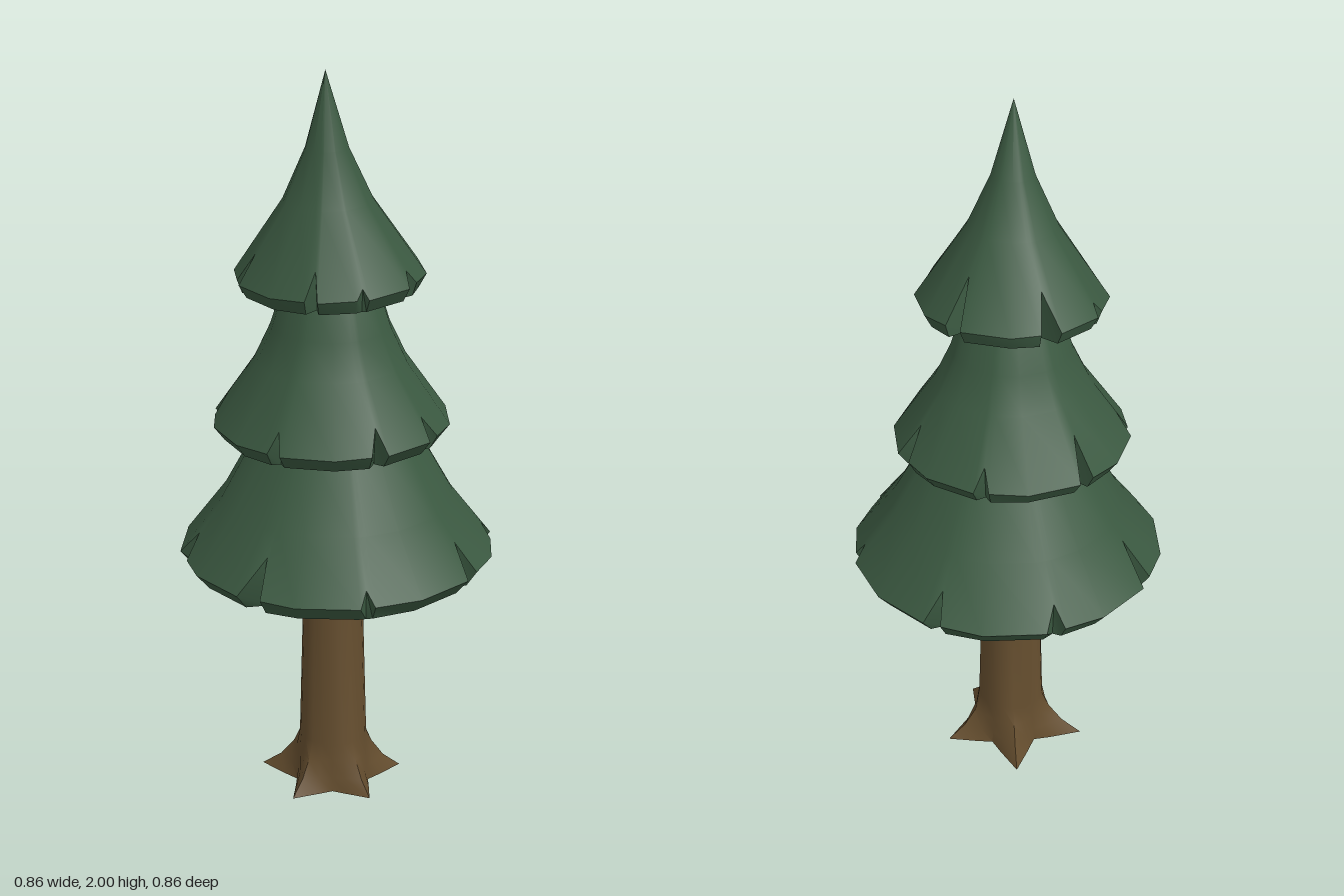
import * as THREE from 'three';
import { toCreasedNormals } from 'three/addons/utils/BufferGeometryUtils.js';

const needles = new THREE.MeshStandardMaterial({ color: 0x3b5941 });
needles.name = 'needleGreen';
const bark = new THREE.MeshStandardMaterial({ color: 0x644d2e });
bark.name = 'barkBrown';

const rad = THREE.MathUtils.degToRad;

// Skins a closed ring of columns; each column is { angle, profile: [[radius, y], ...] } from top to bottom.
function skin(columns, crease) {
  const pos = [];
  const point = (c, j) => {
    const [r, y] = c.profile[j];
    return new THREE.Vector3(r * Math.cos(rad(c.angle)), y, r * Math.sin(rad(c.angle)));
  };
  const tri = (a, b, c) => {
    const area = b.clone().sub(a).cross(c.clone().sub(a)).length();
    if (area > 1e-9) pos.push(...a, ...b, ...c);
  };
  columns.forEach((c, i) => {
    const d = columns[(i + 1) % columns.length];
    for (let j = 0; j < c.profile.length - 1; j++) {
      tri(point(c, j), point(d, j), point(c, j + 1));
      tri(point(d, j), point(d, j + 1), point(c, j + 1));
    }
  });
  const geo = new THREE.BufferGeometry();
  geo.setAttribute('position', new THREE.Float32BufferAttribute(pos, 3));
  // Enlarged while creasing so close corners stay separate
  geo.scale(10, 10, 10);
  const out = toCreasedNormals(geo, rad(crease));
  out.scale(0.1, 0.1, 0.1);
  return out;
}

// One skirt of branches: a flared cone with an undercut lip and V notches.
// notches: [corner angle, apex angle, apex radius, end angle]
function tier({ name, at, lean, sides, rings, lip, notches }) {
  const [rim, above] = rings;
  const step = 360 / sides;
  const upper = rings.slice(1).reverse();
  const column = (angle, r) => {
    const t = Math.max(0, (rim[0] - r) / (rim[0] - above[0]));
    const isApex = r < rim[0] * Math.cos(rad(step / 2)) - 0.001;
    const low = isApex ? Math.min(lip[0], r - 0.008) : lip[0];
    return {
      angle: (angle + 360) % 360,
      profile: [...upper, [r, isApex ? t * above[1] : 0], [low, lip[1]], [0, lip[1]]],
    };
  };
  const columns = [];
  for (let i = 0; i < sides; i++) columns.push(column(i * step, rim[0]));
  for (const [corner, apex, r, end] of notches) {
    const off = Math.abs(end - corner) - step / 2;
    columns.push(column(apex, r));
    columns.push(column(end, rim[0] * Math.cos(rad(step / 2)) / Math.cos(rad(off))));
  }
  columns.sort((a, b) => a.angle - b.angle);
  const mesh = new THREE.Mesh(skin(columns, 36), needles);
  mesh.name = name;
  mesh.position.set(...at);
  mesh.rotation.set(lean[1], 0, -lean[0]);
  return mesh;
}

// Trunk flaring into five pointed roots
function trunk() {
  const reach = [0.178, 0.185, 0.215, 0.205, 0.2];
  const ridge = [1, 0.32, 0.04, 0.32];
  const rows = [[0.078, 0.72, 0], [0.094, 0.14, 0], [0.097, 0.09, 0.17], [0.1, 0.04, 0.5], [0.102, 0, 1]];
  const columns = [];
  for (let i = 0; i < 20; i++) {
    const root = reach[Math.floor((i + 2) / 4) % 5];
    const profile = rows.map(([r, y, flare]) => [r + (root - r) * flare * ridge[i % 4], y]);
    columns.push({ angle: 18 + i * 18, profile: [[0, 0.72], ...profile, [0, 0]] });
  }
  const mesh = new THREE.Mesh(skin(columns, 50), bark);
  mesh.name = 'trunk';
  mesh.position.set(-0.008, 0, 0.008);
  return mesh;
}

export function createModel() {
  const tree = new THREE.Group();
  tree.name = 'pineTree';
  tree.add(trunk());

  tree.add(tier({
    name: 'lowerBranches', at: [0, 0.71, 0], lean: [0.035, 0.055], sides: 16,
    rings: [[0.43, 0], [0.315, 0.15], [0.215, 0.33], [0.1, 0.5], [0, 0.6]],
    lip: [0.393, -0.045],
    notches: [
      [-90, -94, 0.371, -96.5], [-45, -41.7, 0.398, -38.5], [0, -4.7, 0.366, -8],
      [45, 42.3, 0.4, 39.7], [90, 83, 0.358, 81], [135, 130, 0.38, 126.3],
      [180, 175, 0.346, 172.5], [-135, -139.5, 0.385, -142.2],
    ],
  }));

  const c = 360 / 14;
  tree.add(tier({
    name: 'middleBranches', at: [0, 1.075, 0.025], lean: [0.045, 0.065], sides: 14,
    rings: [[0.32, 0], [0.205, 0.165], [0.16, 0.26], [0.125, 0.37], [0.05, 0.5], [0, 0.56]],
    lip: [0.292, -0.038],
    notches: [
      [-4 * c, -106.5, 0.28, -110], [-2 * c, -55.6, 0.26, -61], [0, -3, 0.28, -9],
      [c, 29, 0.275, 33.7], [3 * c, 81, 0.283, 84.5], [6 * c, 149, 0.276, 146],
      [-6 * c, -161, 0.248, -163],
    ],
  }));

  tree.add(tier({
    name: 'topBranches', at: [0.02, 1.478, 0.058], lean: [0.055, 0.105], sides: 12,
    rings: [[0.252, 0], [0.118, 0.195], [0.056, 0.33], [0, 0.525]],
    lip: [0.232, -0.036],
    notches: [
      [-90, -82.5, 0.172, -78], [0, -5.8, 0.226, -12], [30, 32.5, 0.234, 37],
      [60, 62.5, 0.205, 68], [120, 122, 0.2, 130], [180, 177, 0.23, 171],
      [-150, -143, 0.188, -138],
    ],
  }));
  return tree;
}
